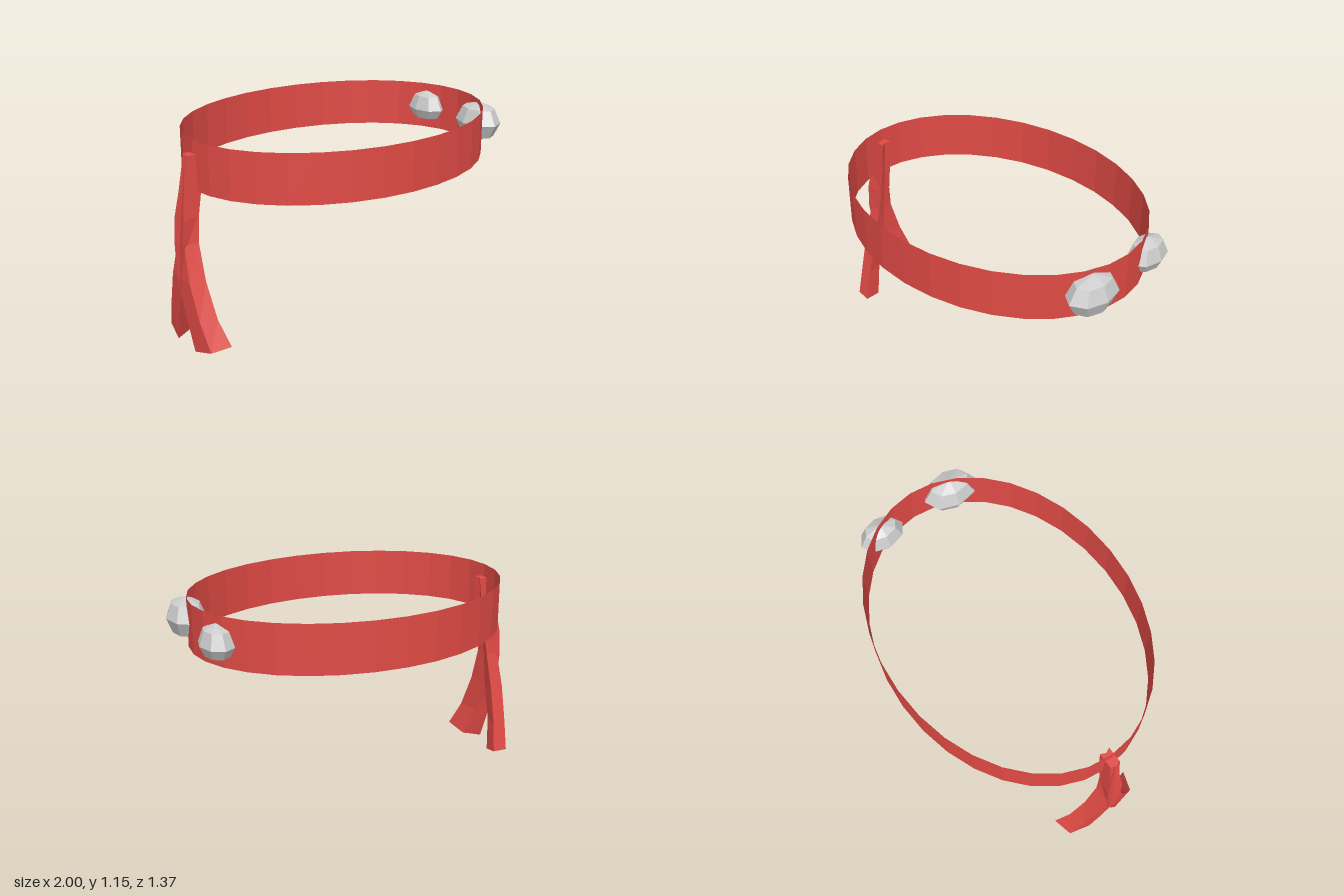
import * as THREE from 'three';

const red = new THREE.MeshStandardMaterial({ color: 0xe04a45, flatShading: true, side: THREE.DoubleSide });
const grey = new THREE.MeshStandardMaterial({ color: 0xcccccc, flatShading: true });

function add(parent, name, geometry, material) {
  const mesh = new THREE.Mesh(geometry, material);
  mesh.name = name;
  parent.add(mesh);
  return mesh;
}

// Tail cross-sections, top to bottom: height, then [x, z] of the
// outer front, outer back, inner back and inner front corners
const tailSections = [
  [1.08, [-0.84, 0.03], [-0.93, 0.03], [-0.94, -0.01], [-0.86, -0.01]],
  [0.88, [-0.865, 0.03], [-0.955, 0.03], [-0.965, -0.03], [-0.88, -0.02]],
  [0.74, [-0.885, 0.03], [-0.97, 0.03], [-0.985, -0.05], [-0.90, -0.035]],
  [0.60, [-0.90, 0.045], [-0.98, 0.035], [-0.995, -0.05], [-0.92, -0.035]],
  [0.40, [-0.90, 0.105], [-0.99, 0.09], [-1.0, -0.025], [-0.925, 0.0]],
  [0.20, [-0.88, 0.18], [-0.975, 0.155], [-0.99, 0.03], [-0.91, 0.07]],
  [0.03, [-0.84, 0.25], [-0.95, 0.22], [-0.975, 0.09], [-0.87, 0.13]],
];
const endTilt = [0.025, 0.005, -0.03, -0.01]; // slanted cut at the bottom

function tailGeometry(side) {
  const positions = [];
  const index = [];
  const last = tailSections.length - 1;
  const quad = (a, b, c, d) =>
    side > 0 ? index.push(a, b, c, a, c, d) : index.push(a, c, b, a, d, c);
  tailSections.forEach(([y, ...corners], i) => {
    corners.forEach(([x, z], k) => {
      const spread = side < 0 ? 0.012 * (i / last) : 0;
      positions.push(x, y + (i === last ? endTilt[k] : 0), side * (z + spread));
      if (i < last) {
        const a = i * 4 + k;
        const b = i * 4 + ((k + 1) % 4);
        quad(a, b, b + 4, a + 4);
      }
    });
  });
  quad(3, 2, 1, 0);
  const e = last * 4;
  quad(e, e + 1, e + 2, e + 3);
  const geometry = new THREE.BufferGeometry();
  geometry.setAttribute('position', new THREE.Float32BufferAttribute(positions, 3));
  geometry.setIndex(index);
  const flat = geometry.toNonIndexed();
  flat.computeVertexNormals();
  return flat;
}

// Faceted stone with its own crown and base heights
function gemGeometry(rx, rz, up, down) {
  const geometry = new THREE.SphereGeometry(1, 8, 4);
  const p = geometry.attributes.position;
  for (let i = 0; i < p.count; i++) {
    const y = p.getY(i);
    p.setXYZ(i, p.getX(i) * rx, y * (y > 0 ? up : down), p.getZ(i) * rz);
  }
  geometry.computeVertexNormals();
  return geometry;
}

export function createModel() {
  const model = new THREE.Group();
  model.name = 'headband';

  // Thin elliptical band
  const band = add(model, 'band', new THREE.CylinderGeometry(1, 1, 0.275, 32, 1, true), red);
  band.scale.set(0.91, 1, 0.685);
  band.position.set(0.02, 1.0175, 0);

  // Two crossing tied ends hanging from the band
  add(model, 'leftTail', tailGeometry(1), red);
  add(model, 'rightTail', tailGeometry(-1), red);

  // Stones on the band
  const large = add(model, 'largeStone', gemGeometry(0.11, 0.162, 0.115, 0.115), grey);
  large.position.set(0.887, 1.02, 0.228);
  large.rotation.y = -0.1;
  const small = add(model, 'smallStone', gemGeometry(0.092, 0.135, 0.113, 0.08), grey);
  small.position.set(0.884, 1.002, -0.235);

  return model;
}
